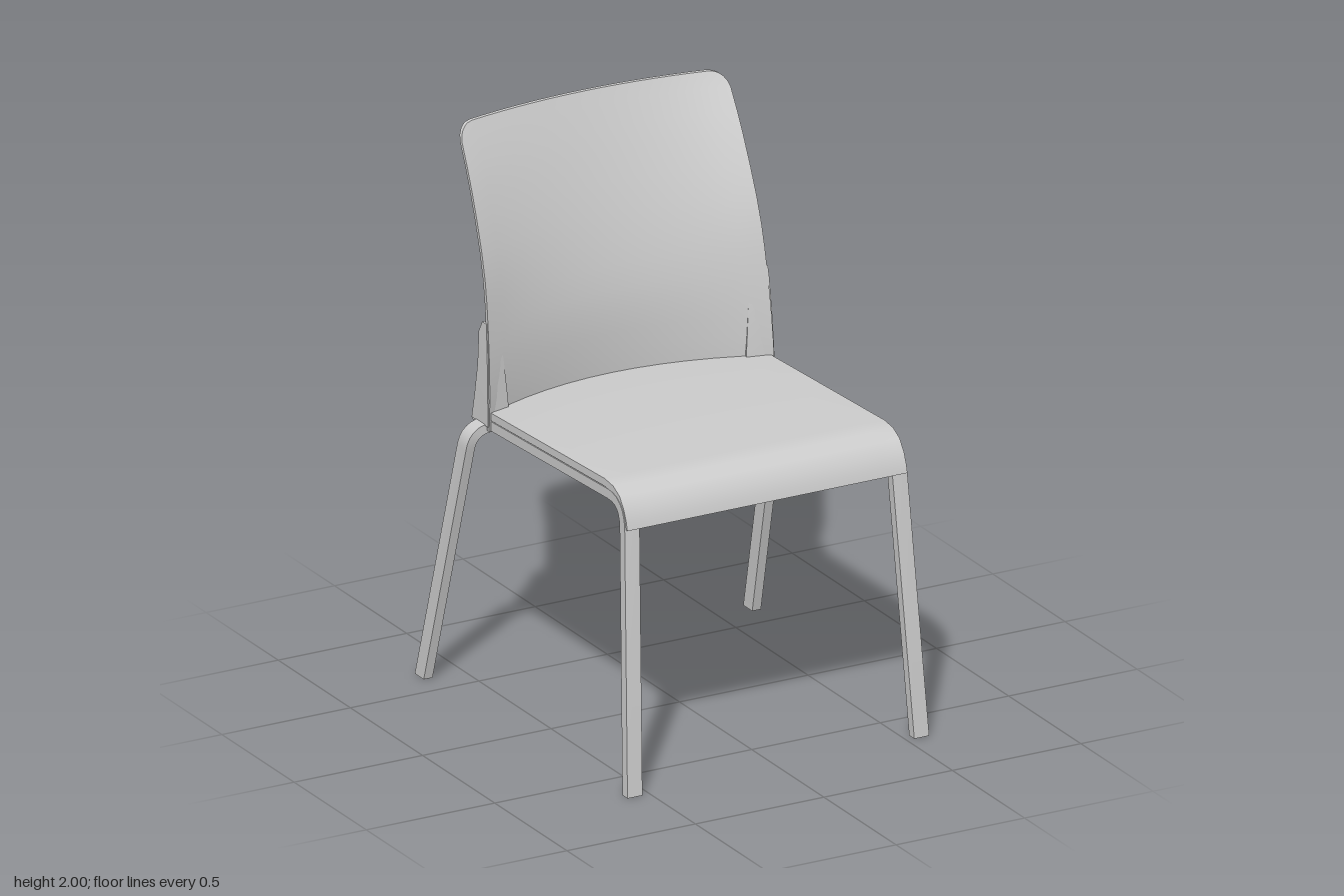
import * as THREE from 'three';
import { toCreasedNormals } from 'three/addons/utils/BufferGeometryUtils.js';

const V = (x, y, z) => new THREE.Vector3(x, y, z);
const lerp = THREE.MathUtils.lerp;
const material = new THREE.MeshStandardMaterial({ color: 0xcccccc });

// Skin closed rings of points; each ring is a strip (n points out, n points back), which also gives the end caps
function loft(rings, crease = 0.5) {
  const n = rings[0].length, tris = [];
  const quad = (a, b, c, d) => tris.push([a, b, c], [a, c, d]);
  for (let r = 0; r < rings.length - 1; r++) {
    for (let i = 0; i < n; i++) {
      const j = (i + 1) % n;
      quad(rings[r][i], rings[r][j], rings[r + 1][j], rings[r + 1][i]);
    }
  }
  const first = rings[0], last = rings[rings.length - 1];
  for (let i = 0; i < n / 2 - 1; i++) {
    const k = n - 1 - i;
    quad(first[i], first[k], first[k - 1], first[i + 1]);
    quad(last[i], last[i + 1], last[k - 1], last[k]);
  }
  // Turn the faces outward whichever way the rings were listed
  let volume = 0;
  for (const [a, b, c] of tris) volume += a.dot(b.clone().cross(c));
  const points = tris.flatMap(([a, b, c]) => (volume < 0 ? [a, c, b] : [a, b, c]));
  return toCreasedNormals(new THREE.BufferGeometry().setFromPoints(points), crease);
}

// Polyline with its inner corners rounded off
function roundPath(points, radius, steps = 6) {
  const out = [points[0]];
  for (let i = 1; i < points.length - 1; i++) {
    const p = points[i];
    const toward = (q) => p.clone().add(q.clone().sub(p).setLength(radius));
    const bend = new THREE.QuadraticBezierCurve3(toward(points[i - 1]), p, toward(points[i + 1]));
    out.push(...bend.getPoints(steps));
  }
  out.push(points[points.length - 1]);
  return out;
}

// Flat bar along a path; ends that stand on the floor are cut level
function bar(path, width, thickness, sideAxis) {
  const rings = path.map((p, i) => {
    const before = path[Math.max(i - 1, 0)], after = path[Math.min(i + 1, path.length - 1)];
    const t = after.clone().sub(before).normalize();
    const side = sideAxis.clone().addScaledVector(t, -sideAxis.dot(t)).normalize();
    const normal = t.clone().cross(side);
    return [[-1, -1], [1, -1], [1, 1], [-1, 1]].map(([a, b]) => {
      const q = p.clone().addScaledVector(side, a * width / 2).addScaledVector(normal, b * thickness / 2);
      return p.y === 0 ? q.addScaledVector(t, -q.y / t.y) : q;
    });
  });
  return loft(rings);
}

// Backrest profile: x = depth at the side edge, y = height, z = depth at the centre of the rear face
const profile = new THREE.CatmullRomCurve3([
  V(-0.33, 0.98, -0.495), V(-0.332, 1.1, -0.487), V(-0.352, 1.3, -0.487),
  V(-0.395, 1.53, -0.53), V(-0.5, 1.8, -0.61), V(-0.605, 2, -0.68),
]);
const halfWidth = (y) => lerp(0.555, 0.523, (y - 1) / 0.95);

function backrestGeometry() {
  const columns = 14, thick = 0.015, corner = 0.06;
  const stops = [...Array(13).keys()].map((i) => i / 13 * 0.94);
  stops.push(0.945, 0.965, 0.98, 0.99, 0.996, 1);
  const rings = stops.map((t) => {
    const p = profile.getPoint(t), full = halfWidth(p.y);
    const up = Math.min(Math.max(p.y - (2 - corner), 0), corner);
    const w = full - corner + Math.sqrt(corner * corner - up * up);
    const row = [];
    for (let i = 0; i <= columns; i++) {
      const x = lerp(-w, w, i / columns);
      row.push(V(x, p.y, lerp(p.z, p.x - thick, (x / full) ** 2)));
    }
    return [...row.map((q) => q.clone().setZ(q.z + thick)), ...row.reverse()];
  });
  return loft(rings, 0.4);
}

// Seat: waterfall front lip, rear edge following the backrest
function seatGeometry() {
  const top = [[0.45, 1.08], [0.51, 1.073], [0.555, 1.05], [0.585, 1.01], [0.602, 0.97], [0.609, 0.942]];
  const under = [[0.45, 1.052], [0.5, 1.047], [0.538, 1.03], [0.566, 0.998], [0.585, 0.965], [0.594, 0.942]];
  const rings = [];
  for (let i = 0; i <= 12; i++) {
    const x = lerp(-0.545, 0.545, i / 12);
    const rear = lerp(-0.473, -0.335, (x / 0.545) ** 2);
    const yRear = 1.08 + (rear - 0.45) * 0.045;
    const point = ([z, y]) => V(x, y, z);
    rings.push([
      ...[[rear, yRear], ...top].map(point),
      ...[[rear, yRear - 0.028], ...under].map(point).reverse(),
    ]);
  }
  return loft(rings, 0.5);
}

// Curved rail behind the foot of the backrest
function railGeometry() {
  const rings = [];
  for (let i = 0; i <= 12; i++) {
    const x = lerp(-0.553, 0.553, i / 12), k = (x / 0.553) ** 2;
    rings.push([
      V(x, 1.08, lerp(-0.478, -0.336, k)), V(x, 1.065, lerp(-0.5, -0.425, k)),
      V(x, lerp(0.945, 0.985, k), lerp(-0.533, -0.45, k)), V(x, lerp(0.975, 1.0, k), lerp(-0.485, -0.335, k)),
    ]);
  }
  return loft(rings, 0.4);
}

// Upright bracket at one side of the backrest, with a bevelled inner face
function bracketGeometry(s) {
  // height, outer x, inner x, front z, rear z
  const levels = [
    [0.995, 0.558, 0.46, -0.333, -0.447],
    [1.08, 0.557, 0.465, -0.337, -0.43],
    [1.2, 0.554, 0.475, -0.345, -0.413],
    [1.32, 0.55, 0.485, -0.357, -0.412],
    [1.36, 0.548, 0.505, -0.363, -0.392],
  ];
  return loft(levels.map(([y, outer, inner, front, rear]) => [
    V(s * outer, y, front), V(s * outer, y, rear),
    V(s * (inner + 0.02), y, rear), V(s * inner, y, front - 0.025),
  ]), 0.3);
}

export function createModel() {
  const chair = new THREE.Group();
  chair.name = 'chair';
  const add = (name, geometry) => {
    const mesh = new THREE.Mesh(geometry, material);
    mesh.name = name;
    chair.add(mesh);
  };

  add('seat', seatGeometry());
  add('backrest', backrestGeometry());
  add('backrestRail', railGeometry());

  for (const [s, label] of [[1, 'left'], [-1, 'right']]) {
    add(`${label}BackrestBracket`, bracketGeometry(s));
    // Front leg bends back into the bar under the seat edge
    const path = roundPath([V(s * 0.558, 0, 0.667), V(s * 0.517, 1.037, 0.573), V(s * 0.517, 0.995, -0.38)], 0.1);
    add(`${label}FrontLegAndSeatBar`, bar(path, 0.058, 0.035, V(1, 0, 0)));
  }

  // Both rear legs and the bowed crossbar between them are one bent bar
  const half = [V(0.639, 0, -0.635), V(0.606, 0.985, -0.378), V(0.3, 0.983, -0.41)];
  const mirrored = half.map((p) => V(-p.x, p.y, p.z)).reverse();
  const rear = roundPath([...half, V(0, 0.98, -0.42), ...mirrored], 0.075);
  add('rearLegsAndCrossbar', bar(rear, 0.06, 0.034, V(0, 0, 1)));

  return chair;
}
